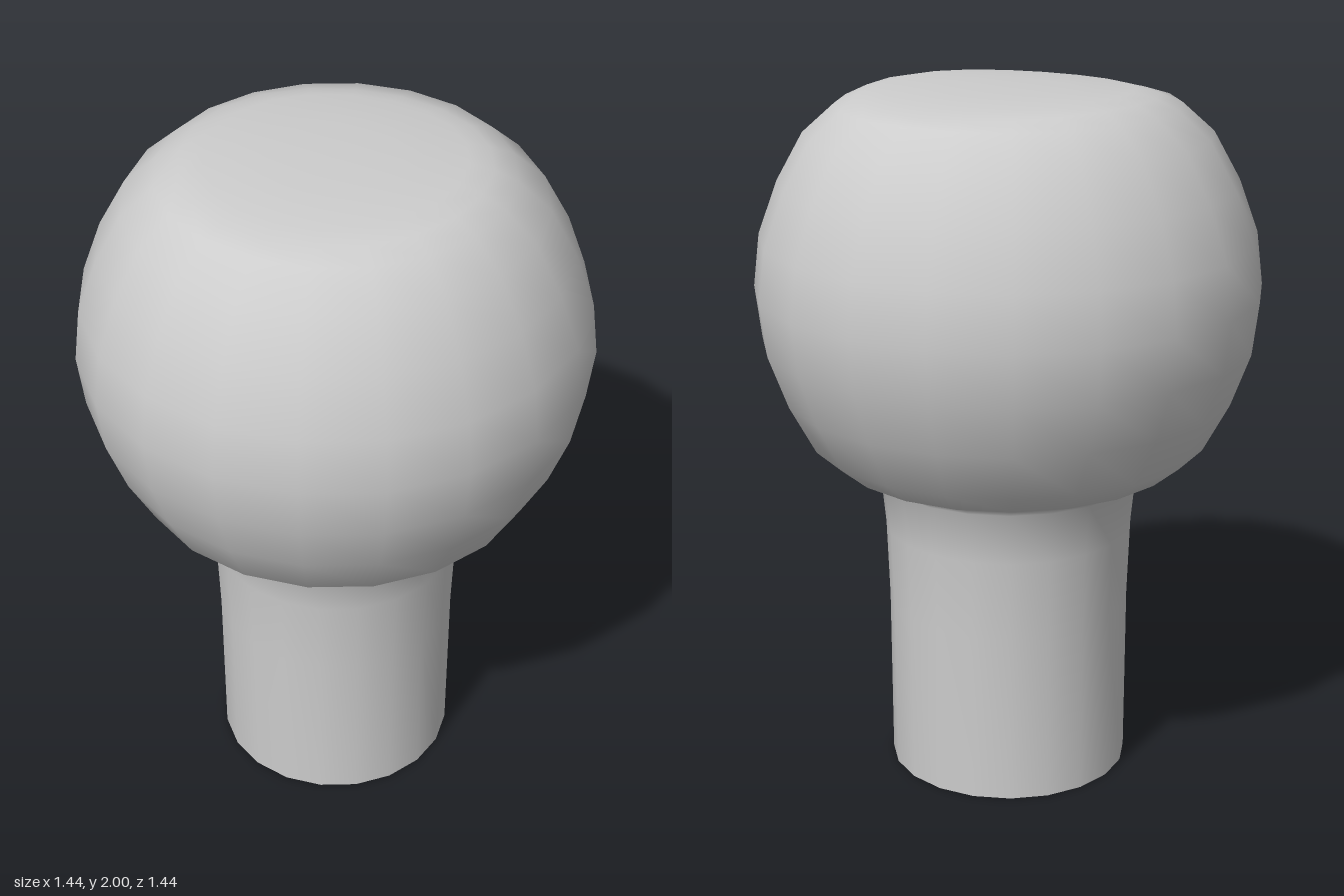
import * as THREE from 'three';
import { mergeVertices } from 'three/addons/utils/BufferGeometryUtils.js';

export function createModel() {
  const group = new THREE.Group();
  group.name = 'knob';
  const grey = new THREE.MeshStandardMaterial({ color: 0xcccccc, side: THREE.DoubleSide });
  grey.name = 'plain grey';

  // Radius and height, from the open foot of the stem over the ball to the flattened top
  const profile = [
    [0.348, 0], [0.35, 0.5], [0.358, 0.73], [0.373, 0.88], [0.42, 0.91], [0.49, 0.935],
    [0.57, 1.0], [0.645, 1.14], [0.7, 1.29], [0.718, 1.44], [0.7, 1.59], [0.645, 1.74],
    [0.57, 1.875], [0.48, 1.955], [0.415, 1.987], [0.35, 2], [0.18, 2], [0, 2],
  ].map(([r, y]) => new THREE.Vector2(r, y));
  let shell = new THREE.LatheGeometry(profile, 20);

  // The top bends down gently towards front and back
  const pos = shell.attributes.position;
  for (let i = 0; i < pos.count; i++) {
    if (pos.getY(i) > 1.98) pos.setY(i, pos.getY(i) - 0.11 * pos.getZ(i) ** 2);
  }

  // Weld the seam so the shading is smooth all round
  shell.deleteAttribute('normal');
  shell.deleteAttribute('uv');
  shell = mergeVertices(shell, 1e-4);
  shell.computeVertexNormals();

  const mesh = new THREE.Mesh(shell, grey);
  mesh.name = 'ballAndStem';
  group.add(mesh);
  return group;
}
